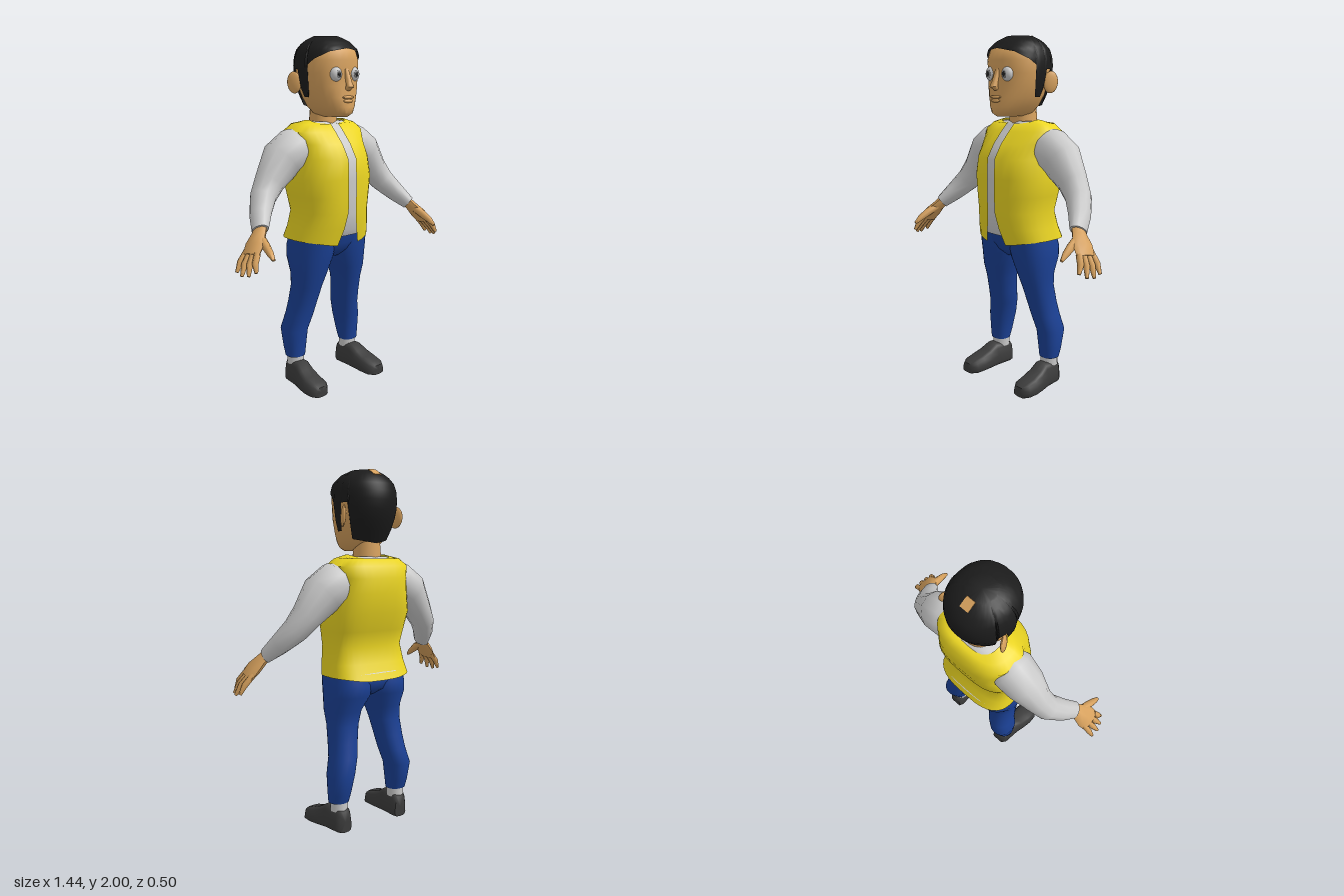
import * as THREE from 'three';
import { toCreasedNormals } from 'three/addons/utils/BufferGeometryUtils.js';

const V = (x, y, z) => new THREE.Vector3(x, y, z);
const mat = (color, side = THREE.FrontSide) => new THREE.MeshStandardMaterial({ color, side });
const SKIN = mat(0xd8a25e), HAIR = mat(0x1c1c1c, THREE.DoubleSide), VEST = mat(0xecd622, THREE.DoubleSide);
const JEANS = mat(0x1b4196), SHOE = mat(0x3c3c3c), GREY = mat(0xcccccc), DARK = mat(0x222222), IRIS = mat(0x8a8a8a);
const pw = (v, e) => Math.sign(v) * Math.abs(v) ** e;

// Skin rows of points into a surface; closed rows wrap round and get end caps
function loft(rows, closed = true) {
  const n = rows[0].length, pts = rows.flat(), idx = [];
  for (let i = 0; i < rows.length - 1; i++) {
    for (let j = 0; j < (closed ? n : n - 1); j++) {
      const k = (j + 1) % n, a = i * n + j, b = i * n + k;
      idx.push(a, b, b + n, a, b + n, a + n);
    }
  }
  if (closed) {
    [0, rows.length - 1].forEach((r) => {
      const c = pts.length;
      pts.push(rows[r].reduce((s, p) => s.add(p), V(0, 0, 0)).divideScalar(n));
      for (let j = 0; j < n; j++) {
        const a = r * n + j, b = r * n + (j + 1) % n;
        if (r === 0) idx.push(c, b, a); else idx.push(c, a, b);
      }
    });
  }
  const g = new THREE.BufferGeometry().setFromPoints(pts);
  g.setIndex(idx);
  return toCreasedNormals(g, 1.0);
}

// Limb through sections [x, y, z, radius along z, radius across]
function limb(secs, n = 12) {
  const c = secs.map((s) => V(s[0], s[1], s[2]));
  return loft(secs.map((s, i) => {
    const t = c[Math.min(i + 1, c.length - 1)].clone().sub(c[Math.max(i - 1, 0)]).normalize();
    const u = V(0, 0, 1).addScaledVector(t, -t.z).normalize();
    const v = t.clone().cross(u);
    return Array.from({ length: n }, (_, j) => {
      const a = j / n * Math.PI * 2;
      return c[i].clone().addScaledVector(u, Math.cos(a) * s[3]).addScaledVector(v, Math.sin(a) * s[4]);
    });
  }));
}

// Level outline point: profile [y, front z, back z, half width], angle from the front
function ringPoint([y, zf, zb, rx], a, zc, ef, eb) {
  const cs = Math.cos(a), e = cs > 0 ? ef : eb;
  return V(rx * pw(Math.sin(a), e), y, zc + pw(cs, e) * (cs > 0 ? zf - zc : zc - zb));
}

const TORSO = [
  [0.88, 0.135, -0.24, 0.25], [0.95, 0.155, -0.2, 0.238], [1.04, 0.167, -0.17, 0.226], [1.13, 0.17, -0.2, 0.238],
  [1.23, 0.17, -0.235, 0.252], [1.34, 0.165, -0.25, 0.228], [1.42, 0.115, -0.25, 0.222], [1.485, 0.055, -0.232, 0.24],
  [1.525, 0.015, -0.2, 0.195], [1.548, 0, -0.175, 0.125]];
const HEAD = [
  [1.565, 0.11, -0.07, 0.05], [1.585, 0.138, -0.11, 0.085], [1.62, 0.138, -0.15, 0.115], [1.67, 0.13, -0.18, 0.14],
  [1.73, 0.122, -0.21, 0.16], [1.8, 0.117, -0.232, 0.17], [1.87, 0.122, -0.232, 0.17], [1.92, 0.108, -0.21, 0.155],
  [1.96, 0.055, -0.17, 0.118], [1.985, 0, -0.12, 0.06]];

// Linear lookup in rows keyed by their first number
function lookup(table, key) {
  const i = Math.max(1, table.findIndex((r) => r[0] >= key));
  const a = table[i - 1], b = table[i], t = Math.min(1, Math.max(0, (key - a[0]) / (b[0] - a[0])));
  return a.map((v, k) => v + (b[k] - v) * t);
}

export function createModel() {
  const model = new THREE.Group();
  const add = (name, geo, material, parent = model) => {
    const m = new THREE.Mesh(geo, material);
    m.name = name;
    parent.add(m);
    return m;
  };
  const blob = (name, material, p, s, parent) => {
    const m = add(name, new THREE.SphereGeometry(1, 16, 12), material, parent);
    m.position.set(...p);
    m.scale.set(...s);
    return m;
  };
  const angles = Array.from({ length: 28 }, (_, j) => j / 28 * Math.PI * 2);

  // Shirt body just inside the vest
  add('shirt', loft(TORSO.map(([y, f, b, r]) => angles.map((a) =>
    ringPoint([y + (y < 0.9 ? 0.02 : -0.012), f - 0.012, b + 0.015, r - 0.015], a, -0.06, 0.85, 0.65)))), GREY);

  // Open vest with a dipping hem
  add('vest', loft(TORSO.map((r, i) => {
    const gap = i === 0 ? 0.075 : i === 1 ? 0.045 : 0.027;
    const a0 = Math.asin((gap / r[3]) ** (1 / 0.85));
    return Array.from({ length: 33 }, (_, j) => {
      const a = a0 + j / 32 * (Math.PI * 2 - 2 * a0), p = ringPoint(r, a, -0.06, 0.85, 0.65);
      if (i === 0) p.y -= 0.03 * Math.max(0, Math.cos(a)) ** 4 + 0.02 * Math.max(0, -Math.cos(a)) ** 4;
      if (i === 9) p.y -= 0.025 * Math.abs(Math.cos(a));
      return p;
    });
  }), false), VEST);

  // Trouser seat
  add('trouserSeat', loft([[0.765, 0.03, -0.13, 0.05], [0.8, 0.07, -0.185, 0.13], [0.85, 0.095, -0.2, 0.22],
    [0.92, 0.11, -0.18, 0.225]].map((r) => angles.map((a) => ringPoint(r, a, -0.06, 0.9, 0.9)))), JEANS);

  // Neck and head
  add('neck', new THREE.CylinderGeometry(0.072, 0.085, 0.16, 16), SKIN).position.set(0, 1.55, -0.085);
  const head = new THREE.Group();
  head.name = 'head';
  model.add(head);
  add('skull', loft(HEAD.map((r) => angles.map((a) => ringPoint(r, a, -0.06, 0.9, 1)))), SKIN, head);

  // Hair cap: lower edge height by angle gives hairline, sideburns, ear notch and nape
  const EDGE = [[0, 1.922], [0.2, 1.905], [0.35, 1.87], [0.425, 1.84], [0.44, 1.68], [0.52, 1.68], [0.535, 1.82],
    [0.63, 1.82], [0.65, 1.64], [1, 1.62]];
  const hairRows = Array.from({ length: 11 }, (_, i) => Array.from({ length: 81 }, (_, j) => {
    const a = j / 80 * Math.PI * 2, y0 = lookup(EDGE, Math.min(a, Math.PI * 2 - a) / Math.PI)[1];
    const y = y0 + (1.985 - y0) * Math.sin(i / 10 * Math.PI / 2), r = lookup(HEAD, y);
    return ringPoint([y + (y - 1.8) * 0.07, r[1] + 0.01, r[2] - 0.012, r[3] + 0.008], a, -0.06, 0.9, 1);
  }));
  hairRows.push(hairRows[0].map(() => V(0, 2, -0.06)));
  add('hair', loft(hairRows, false), HAIR, head);
  const patch = add('crownPatch', new THREE.BoxGeometry(0.05, 0.012, 0.058), SKIN, head);
  patch.position.set(0, 1.982, -0.152);
  patch.rotation.x = -0.55;

  // Nose and mouth
  add('nose', limb([[0, 1.715, 0.125, 0.012, 0.016], [0, 1.73, 0.143, 0.022, 0.024], [0, 1.755, 0.132, 0.018, 0.016],
    [0, 1.82, 0.112, 0.012, 0.014]]), SKIN, head);
  blob('upperLip', SKIN, [0, 1.672, 0.128], [0.042, 0.009, 0.013], head);
  blob('lowerLip', SKIN, [0, 1.652, 0.129], [0.034, 0.01, 0.013], head);

  for (const s of [1, -1]) {
    const side = s > 0 ? 'left' : 'right';

    // Eye and ear
    blob(side + 'Eye', GREY, [s * 0.064, 1.795, 0.1], [0.036, 0.04, 0.028], head);
    blob(side + 'Iris', IRIS, [s * 0.063, 1.795, 0.123], [0.017, 0.021, 0.007], head);
    blob(side + 'Pupil', DARK, [s * 0.063, 1.795, 0.127], [0.01, 0.014, 0.006], head);
    const ear = blob(side + 'Ear', SKIN, [s * 0.18, 1.75, -0.115], [0.014, 0.06, 0.042], head);
    ear.rotation.set(-0.15, -0.5 * s, 0);

    // Sleeve
    add(side + 'Sleeve', limb([[0.14, 1.4, -0.08, 0.09, 0.1], [0.215, 1.385, -0.08, 0.122, 0.125],
      [0.3, 1.335, -0.083, 0.11, 0.118], [0.39, 1.225, -0.072, 0.08, 0.085], [0.45, 1.15, -0.05, 0.073, 0.07],
      [0.51, 1.075, 0.01, 0.063, 0.054], [0.558, 1.01, 0.075, 0.05, 0.036]]
      .map(([x, ...r]) => [s * x, ...r])), GREY);

    // Hand: palm, four fingers and thumb
    const hand = new THREE.Group();
    hand.name = side + 'Hand';
    model.add(hand);
    const digit = (name, secs) => add(name, limb(secs.map(([x, ...r]) => [s * x, ...r]), 8), SKIN, hand);
    digit('palm', [[0.545, 1.025, 0.065, 0.038, 0.028], [0.575, 0.99, 0.085, 0.045, 0.029],
      [0.615, 0.945, 0.105, 0.066, 0.03], [0.65, 0.9, 0.118, 0.064, 0.022]]);
    [[0.712, 0.815, 0.082], [0.714, 0.805, 0.13], [0.7, 0.81, 0.17], [0.675, 0.83, 0.202]].forEach(([x, y, z], i) => {
      const bx = 0.638, by = 0.915, bz = 0.07 + i * 0.03;
      digit('finger', [[bx, by, bz, 0.017, 0.018], [(bx + x) / 2 + 0.01, (by + y) / 2, (bz + z) / 2, 0.017, 0.017],
        [x, y, z, 0.009, 0.009]]);
    });
    digit('thumb', [[0.575, 0.985, 0.1, 0.02, 0.022], [0.59, 0.95, 0.165, 0.024, 0.022],
      [0.598, 0.92, 0.215, 0.018, 0.018], [0.602, 0.893, 0.25, 0.008, 0.01]]);

    // Trouser leg: [y, inner x, outer x, front z, back z]
    add(side + 'TrouserLeg', loft([[0.17, 0.15, 0.265, -0.045, -0.152], [0.22, 0.143, 0.27, -0.04, -0.17],
      [0.33, 0.128, 0.276, -0.03, -0.197], [0.42, 0.1, 0.252, -0.012, -0.182], [0.5, 0.085, 0.243, 0.008, -0.165],
      [0.6, 0.065, 0.236, 0.035, -0.15], [0.68, 0.04, 0.243, 0.06, -0.155], [0.77, 0.0, 0.247, 0.08, -0.203],
      [0.83, -0.01, 0.246, 0.092, -0.207], [0.91, 0.0, 0.235, 0.1, -0.185]]
      .map(([y, xi, xo, f, b]) => angles.map((a) =>
        ringPoint([y, f, b, (xo - xi) / 2], a, (f + b) / 2, 0.9, 0.9).add(V(s * (xi + xo) / 2, 0, 0))))), JEANS);

    // Sock and shoe
    add(side + 'Sock', new THREE.CylinderGeometry(0.05, 0.05, 0.07, 16), GREY).position.set(s * 0.205, 0.155, -0.1);
    add(side + 'Shoe', loft([[-0.157, 0.2, 0.042, 0.12], [-0.135, 0.203, 0.058, 0.142], [-0.03, 0.21, 0.063, 0.146],
      [0.02, 0.216, 0.069, 0.115], [0.08, 0.221, 0.074, 0.092], [0.135, 0.222, 0.07, 0.078], [0.166, 0.224, 0.045, 0.06]]
      .map(([z, cx, w, h]) => Array.from({ length: 16 }, (_, j) => {
        const a = j / 16 * Math.PI * 2, y = h / 2 * (1 + pw(Math.sin(a), 0.55));
        return V(s * cx + w * pw(Math.cos(a), 0.55) * (1.05 - 0.28 * y / h), y, z);
      }))), SHOE);
  }
  return model;
}
